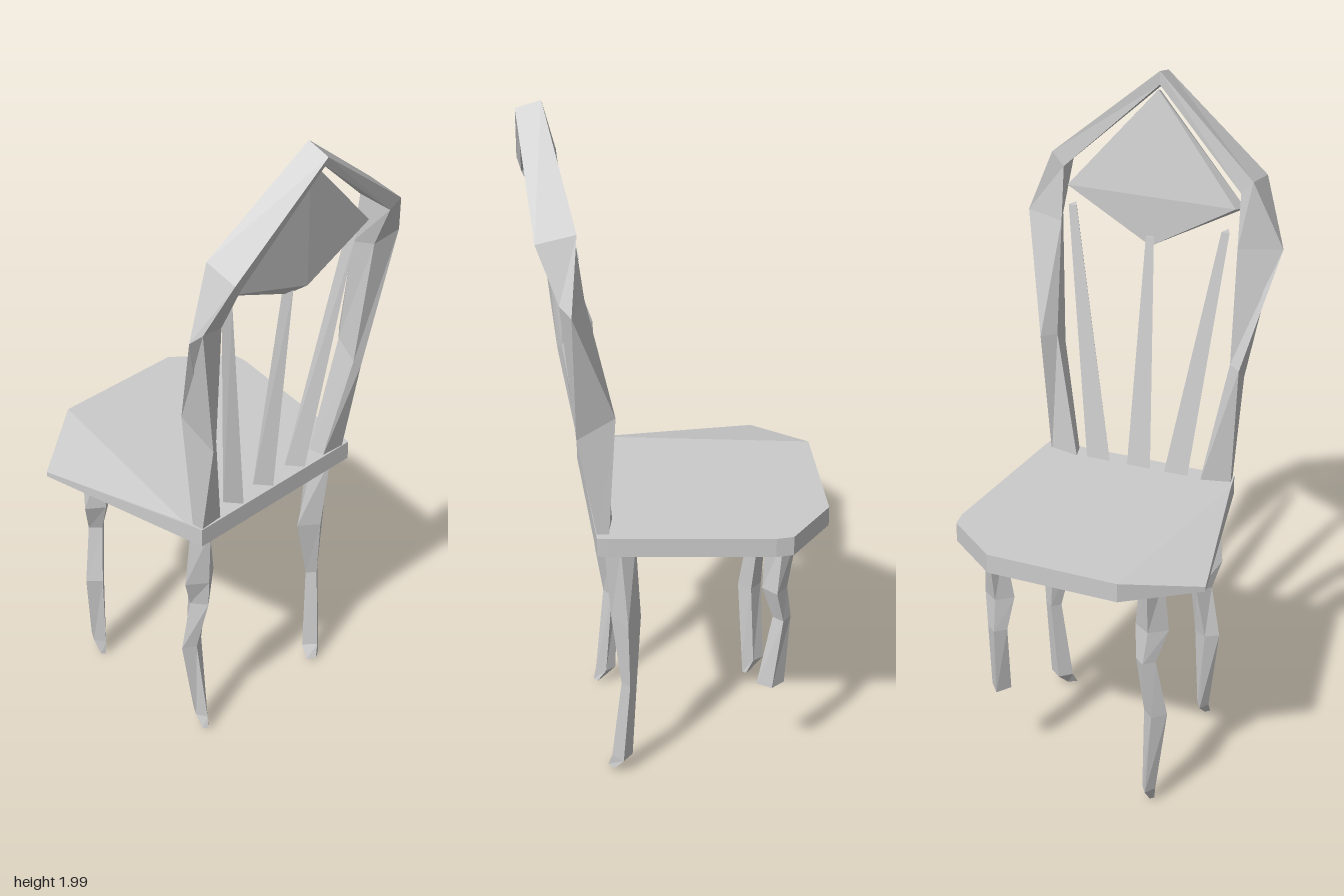
import * as THREE from 'three';
import { ConvexGeometry } from 'three/addons/geometries/ConvexGeometry.js';

const material = new THREE.MeshStandardMaterial({ color: 0xcccccc, flatShading: true, side: THREE.DoubleSide });

function mesh(name, geometry) {
  const m = new THREE.Mesh(geometry, material);
  m.name = name;
  return m;
}

// Skin a list of rings (counterclockwise from above, bottom to top) and cap both ends
function loft(rings) {
  const n = rings[0].length, last = (rings.length - 1) * n, index = [];
  for (let r = 0; r < rings.length - 1; r++) {
    for (let i = 0; i < n; i++) {
      const a = r * n + i, b = r * n + (i + 1) % n;
      index.push(a, b, b + n, a, b + n, a + n);
    }
  }
  for (let i = 1; i < n - 1; i++) {
    index.push(0, i + 1, i, last, last + i, last + i + 1);
  }
  const g = new THREE.BufferGeometry();
  g.setAttribute('position', new THREE.Float32BufferAttribute(rings.flat(2), 3));
  g.setIndex(index);
  const flat = g.toNonIndexed();
  flat.computeVertexNormals();
  return flat;
}

// Ring of n points: height, centre and radii
function ring(n, [y, x, z, rx, rz]) {
  return Array.from({ length: n }, (_, i) => {
    const a = (i / n) * Math.PI * 2;
    return [x + rx * Math.cos(a), y, z - rz * Math.sin(a)];
  });
}

function hull(points) {
  return new ConvexGeometry(points.map((p) => new THREE.Vector3(...p)));
}

export function createModel() {
  const chair = new THREE.Group();
  chair.name = 'chair';

  // Seat slab with one corner planed down
  const outline = [
    [-0.415, -0.21], [-0.29, -0.36], [-0.24, -0.365], [0.22, -0.305], [0.25, -0.3],
    [0.25, 0.28], [0.19, 0.291], [-0.285, 0.385], [-0.425, 0.18],
  ];
  const seatPoints = outline.flatMap(([x, z]) => [[x, 0.77, z], [x, z > 0.3 ? 0.785 : 0.828, z]]);
  chair.add(mesh('seat', hull(seatPoints)));

  // Faceted legs, listed from foot to seat; one is cut short
  const legs = {
    backLeftLeg: [
      [0.02, 0.205, 0.225, 0.012, 0.012], [0.06, 0.18, 0.222, 0.03, 0.018], [0.33, 0.16, 0.238, 0.022, 0.038],
      [0.49, 0.165, 0.215, 0.042, 0.033], [0.58, 0.175, 0.22, 0.04, 0.055], [0.775, 0.182, 0.225, 0.045, 0.035],
    ],
    backRightLeg: [
      [0.02, 0.205, -0.225, 0.015, 0.025], [0.06, 0.18, -0.24, 0.03, 0.035], [0.32, 0.16, -0.257, 0.022, 0.025],
      [0.53, 0.165, -0.24, 0.042, 0.055], [0.775, 0.182, -0.252, 0.045, 0.025],
    ],
    frontLeftLeg: [
      [0.01, -0.255, 0.22, 0.01, 0.01], [0.06, -0.275, 0.22, 0.033, 0.02], [0.32, -0.265, 0.235, 0.035, 0.035],
      [0.5, -0.28, 0.21, 0.027, 0.03], [0.6, -0.258, 0.22, 0.036, 0.05], [0.775, -0.275, 0.225, 0.045, 0.035],
    ],
    frontRightLeg: [
      [0.28, -0.25, -0.25, 0.04, 0.03], [0.5, -0.28, -0.245, 0.026, 0.03],
      [0.6, -0.258, -0.245, 0.036, 0.045], [0.775, -0.275, -0.25, 0.045, 0.03],
    ],
  };
  for (const [name, rows] of Object.entries(legs)) {
    chair.add(mesh(name, loft(rows.map((row) => ring(4, row)))));
  }

  // Arched back frame: corners run outer front, outer back, inner back, inner front
  const frame = [
    [[0.215, 0.81, 0.28], [0.245, 0.81, 0.275], [0.24, 0.81, 0.2], [0.195, 0.81, 0.19]],
    [[0.195, 1.2, 0.303], [0.3, 1.13, 0.285], [0.29, 1.15, 0.265], [0.23, 1.2, 0.265]],
    [[0.315, 1.54, 0.385], [0.345, 1.57, 0.365], [0.33, 1.55, 0.285], [0.27, 1.54, 0.265]],
    [[0.29, 1.74, 0.3], [0.4, 1.72, 0.305], [0.39, 1.69, 0.275], [0.29, 1.7, 0.265]],
    [[0.35, 2, 0], [0.42, 1.98, 0], [0.41, 1.95, 0], [0.35, 1.96, 0]],
  ];
  const mirrored = frame.map((r) => r.map(([x, y, z]) => [x, y, -z]).reverse());
  chair.add(mesh('leftBackFrame', loft(frame)), mesh('rightBackFrame', loft(mirrored)));

  // Diamond panel under the arch, with a bevelled lower edge
  chair.add(mesh('backPanel', hull([
    [0.36, 1.94, 0], [0.33, 1.64, 0.265], [0.33, 1.64, -0.26], [0.33, 1.535, -0.03],
    [0.34, 1.95, 0], [0.29, 1.65, 0.25], [0.28, 1.65, -0.25], [0.285, 1.5, 0],
  ])));

  // Three-sided tapering spindles
  const spindles = [['left', 0.115, 0.225, 1.58], ['middle', 0, 0, 1.53], ['right', -0.125, -0.235, 1.59]];
  for (const [side, z0, z1, top] of spindles) {
    chair.add(mesh(side + 'Spindle', loft([
      ring(3, [0.82, 0.215, z0, 0.03, 0.042]),
      ring(3, [top, 0.29, z1, 0.018, 0.014]),
    ])));
  }
  return chair;
}
